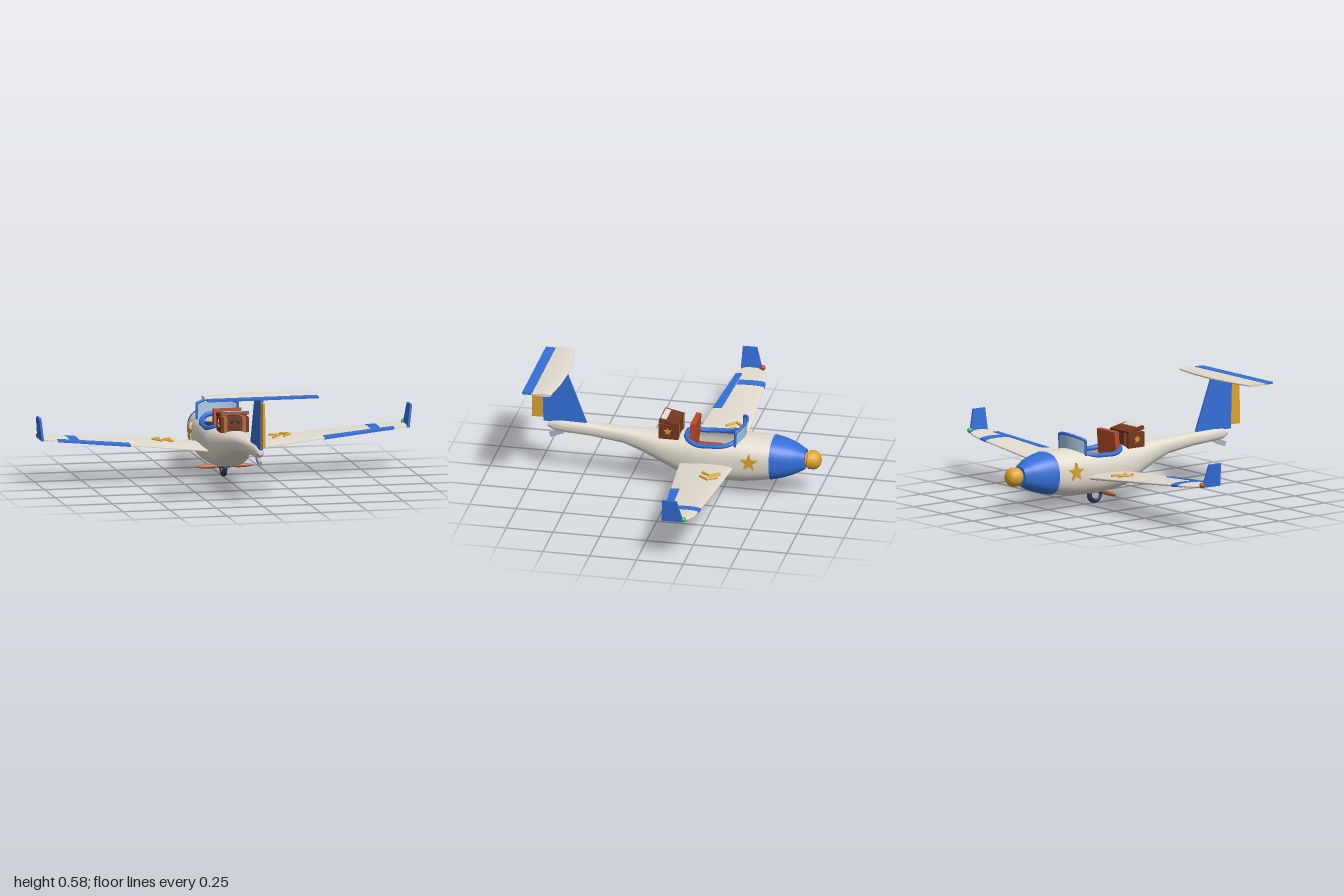
import * as THREE from 'three';
import { toCreasedNormals } from 'three/addons/utils/BufferGeometryUtils.js';

const V = (x, y, z) => new THREE.Vector3(x, y, z);
const paint = (name, color, side = THREE.FrontSide) => Object.assign(new THREE.MeshStandardMaterial({ color, side }), { name });

// Linear lookup in a table whose first column is the key
function lookup(table, k) {
  let i = 0;
  while (i < table.length - 2 && k > table[i + 1][0]) i++;
  const a = table[i], b = table[i + 1], t = (k - a[0]) / (b[0] - a[0]);
  return a.slice(1).map((v, n) => v + (b[n + 1] - v) * t);
}

// Skin through rings of points; open rings leave a gap between last and first point
function loft(rings, { closed = true, caps = true, crease = 0.7 } = {}) {
  const n = rings[0].length, pos = [], idx = [];
  rings.forEach(r => r.forEach(p => pos.push(p.x, p.y, p.z)));
  for (let i = 0; i < rings.length - 1; i++)
    for (let j = 0; j < (closed ? n : n - 1); j++) {
      const a = i * n + j, b = i * n + (j + 1) % n;
      idx.push(a, b, b + n, a, b + n, a + n);
    }
  if (caps) {
    const e = (rings.length - 1) * n;
    for (let j = 1; j < n - 1; j++) idx.push(0, j + 1, j, e, e + j, e + j + 1);
  }
  const g = new THREE.BufferGeometry();
  g.setAttribute('position', new THREE.Float32BufferAttribute(pos, 3));
  g.setIndex(idx);
  return toCreasedNormals(g, crease);
}

// Plate from [z, y] corners, with its thickness along x
function plate(corners, thick) {
  const g = new THREE.ExtrudeGeometry(new THREE.Shape(corners.map(c => new THREE.Vector2(...c))), { depth: thick, bevelEnabled: false });
  return g.translate(0, 0, -thick / 2).rotateY(-Math.PI / 2);
}
const star = (r, thick) => plate(Array.from({ length: 10 }, (_, i) => {
  const a = i * Math.PI / 5, q = i % 2 ? r * 0.42 : r;
  return [Math.sin(a) * q, Math.cos(a) * q];
}), thick);

// Round rod between two points
function rod(a, b, r) {
  const d = b.clone().sub(a), m = a.clone().add(b).multiplyScalar(0.5);
  const g = new THREE.CapsuleGeometry(r, d.length(), 4, 10);
  g.applyQuaternion(new THREE.Quaternion().setFromUnitVectors(V(0, 1, 0), d.normalize()));
  return g.translate(m.x, m.y, m.z);
}
const box = (w, h, d) => new THREE.BoxGeometry(w, h, d);
const tube = (pts, r, closed = false) => new THREE.TubeGeometry(new THREE.CatmullRomCurve3(pts, closed), 64, r, 8, closed);

// Fuselage stations: z, half width, top, bottom
const HULL = [[-0.69, 0.05, 0.25, 0.15], [-0.63, 0.085, 0.28, 0.12], [-0.57, 0.106, 0.298, 0.1], [-0.515, 0.118, 0.307, 0.087],
  [-0.42, 0.127, 0.31, 0.07], [-0.35, 0.13, 0.31, 0.062], [-0.2, 0.13, 0.308, 0.06], [-0.1, 0.125, 0.3, 0.068], [-0.03, 0.112, 0.293, 0.08],
  [0.05, 0.095, 0.288, 0.115], [0.12, 0.08, 0.288, 0.148], [0.2, 0.06, 0.29, 0.18], [0.28, 0.046, 0.292, 0.207], [0.45, 0.034, 0.297, 0.228],
  [0.6, 0.028, 0.3, 0.237], [0.66, 0.022, 0.296, 0.243], [0.69, 0.01, 0.28, 0.26]];
const N = 2.5, COCKPIT = { z: -0.202, len: 0.145, half: 0.104 };

function hullPoint(z, th, grow = 1) {
  const [w, top, bottom] = lookup(HULL, z), s = Math.sin(th), c = Math.cos(th);
  const f = v => Math.sign(v) * Math.abs(v) ** (2 / N) * grow;
  return V(-w * f(s), (top + bottom) / 2 + (top - bottom) / 2 * f(c), z);
}
// Angle from the top at which the cockpit opening begins
function openAngle(z) {
  const t = Math.abs((z - COCKPIT.z) / COCKPIT.len);
  if (t >= 1) return 0;
  const o = COCKPIT.half * (1 - t ** 3) ** (1 / 3);
  return Math.asin(Math.min(1, (o / lookup(HULL, z)[0]) ** (N / 2)));
}
function hullRing(z, grow = 1) {
  const t0 = openAngle(z);
  return Array.from({ length: 41 }, (_, j) => hullPoint(z, t0 + (2 * Math.PI - 2 * t0) * j / 40, grow));
}

// Lifting surfaces: x, leading z, trailing z, height, thickness
const WING = [[0.1, -0.325, -0.038, 0.163, 0.03], [0.52, -0.31, -0.08, 0.2, 0.022], [0.8, -0.295, -0.11, 0.224, 0.016],
  [0.9, -0.285, -0.12, 0.232, 0.014], [0.95, -0.265, -0.13, 0.236, 0.012], [0.98, -0.215, -0.15, 0.239, 0.008]];
const TAIL = [[0, 0.58, 0.715, 0.57, 0.018], [0.15, 0.59, 0.715, 0.57, 0.016], [0.3, 0.612, 0.715, 0.57, 0.012]];

// Section of a surface from c0 to c1 of the chord, thickened by grow
function foil(table, s, xs, c0 = 0, c1 = 1, grow = 0) {
  return loft(xs.map(x => {
    const [le, te, y, thick] = lookup(table, x), top = [], low = [];
    for (let i = 0; i <= 10; i++) {
      const c = c0 + (c1 - c0) * (i / 10) ** 1.5, k = Math.min(c, 1);
      const h = thick * 1.3 * Math.sqrt(k) * (1 - k) + 0.002 + grow, z = le + (te - le) * c - (c === 0 ? grow : 0);
      top.push(V(s * x, y + h, z));
      low.unshift(V(s * x, y - h, z));
    }
    const ring = [...top, ...low];
    return s > 0 ? ring : ring.reverse();
  }));
}

export function createModel() {
  const D = THREE.DoubleSide;
  const cream = paint('cream', 0xe2dccf, D), blue = paint('blue', 0x346fd9, D), gold = paint('gold', 0xdca22f);
  const leather = paint('leather brown', 0x74371f), red = paint('seat red', 0xb84a2c), navy = paint('dark navy', 0x2a3048);
  const grey = paint('metal grey', 0xaab4bf), glass = paint('pale glass', 0xa9c9e0, D), green = paint('signal green', 0x2fc765);
  const wood = paint('wood', 0xb5673c);
  const model = new THREE.Group();
  const add = (name, geo, mat, x = 0, y = 0, z = 0, parent = model) => {
    const m = new THREE.Mesh(geo, mat);
    m.name = name;
    m.position.set(x, y, z);
    parent.add(m);
    return m;
  };

  // Fuselage with an open cockpit, blue cowl and spinner
  const openZ = Array.from({ length: 25 }, (_, i) => COCKPIT.z - COCKPIT.len * Math.cos(i * Math.PI / 24));
  const bodyZ = [...HULL.map(r => r[0]).filter(z => z > -0.52 && Math.abs(z - COCKPIT.z) > COCKPIT.len), ...openZ].sort((a, b) => a - b);
  add('fuselage', loft(bodyZ.map(z => hullRing(z)), { closed: false }), cream);
  add('cowl', loft([-0.69, -0.66, -0.63, -0.57, -0.515].map(z => hullRing(z, 1.02)), { closed: false }), blue);
  const nose = [[0, -0.685], [0.036, -0.685], [0.038, -0.7], [0.05, -0.705], [0.051, -0.735], [0.043, -0.753], [0.028, -0.767], [0, -0.775]];
  add('spinner', toCreasedNormals(new THREE.LatheGeometry(nose.map(p => new THREE.Vector2(p[0], -p[1])), 20).rotateX(-Math.PI / 2), 0.6), gold, 0, 0.2);

  // Cockpit rim, windscreen and fittings
  const edge = openZ.map(z => hullPoint(z, openAngle(z)));
  const back = edge.slice(1, -1).reverse().map(p => V(-p.x, p.y, p.z));
  add('cockpitRim', tube([...edge, ...back], 0.013, true), blue);
  const arc = (y, rise, dz) => Array.from({ length: 17 }, (_, i) => {
    const t = i / 8 - 1;
    return V(0.11 * t, y + rise * (1 - t * t), -0.333 - 0.037 * (1 - t * t) + dz);
  });
  const low = arc(0.288, 0.022, 0), high = arc(0.366, 0.022, -0.004);
  add('windscreen', loft([low, high], { closed: false, caps: false }), glass);
  add('windscreenFrame', tube(high, 0.008), blue);
  for (const i of [0, 16]) add('windscreenPost', rod(low[i], high[i], 0.007), blue);
  add('dashboard', box(0.17, 0.07, 0.025), navy, 0, 0.235, -0.315);
  add('seatCushion', box(0.15, 0.07, 0.14), red, 0, 0.18, -0.16);
  add('seatBack', box(0.15, 0.19, 0.028), red, 0, 0.282, -0.094).rotation.x = -0.08;
  add('controlStick', rod(V(0, 0.1, -0.25), V(0, 0.23, -0.24), 0.01), navy);

  // Wings with everything attached to them, mirrored
  for (const s of [1, -1]) {
    const side = s > 0 ? 'left' : 'right';
    add(side + 'Wing', foil(WING, s, WING.map(r => r[0])), cream);
    add(side + 'WingBand', foil(WING, s, [0.78, 0.8, 0.83], 0, 0.78, 0.002), blue);
    add(side + 'Aileron', foil(WING, s, [0.52, 0.8, 0.9], 0.8, 1.01, 0.003), blue);
    const tip = add(side + 'Winglet', plate([[-0.13, -0.005], [-0.245, -0.003], [-0.213, 0.117], [-0.137, 0.117]], 0.012), blue, s * 0.979, 0.237);
    tip.rotation.z = -s * 0.12;
    add(side + 'NavLight', new THREE.SphereGeometry(0.014, 16, 12), s > 0 ? green : red, s * 0.977, 0.246, -0.247);
    for (const x of [0.308, 0.366])
      for (const dz of [-0.043, 0.043]) {
        const y = q => lookup(WING, q)[2] + 0.017;
        add(side + 'Chevron', rod(V(s * x, y(x), -0.24), V(s * (x - 0.038), y(x - 0.038), -0.24 + dz), 0.008), gold);
      }
    add(side + 'Star', star(0.05, 0.024), gold, s * 0.121, 0.207, -0.41);
    add(side + 'FootRest', new THREE.SphereGeometry(1, 16, 10).scale(0.065, 0.011, 0.012), wood, s * 0.088, 0.061, -0.165);
    add(side + 'Tailplane', foil(TAIL, s, TAIL.map(r => r[0])), cream);
  }

  // Tail
  add('fin', plate([[0.48, 0.29], [0.585, 0.568], [0.72, 0.568], [0.712, 0.29]], 0.016), blue);
  add('rudder', plate([[0.712, 0.31], [0.715, 0.545], [0.77, 0.545], [0.775, 0.31]], 0.013), gold);
  add('elevator', box(0.59, 0.01, 0.053), blue, 0, 0.569, 0.738);
  add('tailSkid', box(0.018, 0.026, 0.075), grey, 0, 0.226, 0.643).rotation.x = 0.38;

  // Single main wheel
  add('tyre', new THREE.TorusGeometry(0.034, 0.0135, 12, 32).rotateY(Math.PI / 2), navy, 0, 0.0475, -0.19);
  add('hub', new THREE.CylinderGeometry(0.024, 0.024, 0.016, 20).rotateZ(Math.PI / 2), grey, 0, 0.0475, -0.19);
  add('axle', rod(V(-0.03, 0.058, -0.165), V(0.03, 0.058, -0.165), 0.007), navy);

  // Suitcase strapped behind the seat
  const bag = new THREE.Group();
  bag.name = 'suitcase';
  model.add(bag);
  add('caseBody', box(0.15, 0.08, 0.105), leather, 0, 0.318, 0.03, bag);
  const lid = new THREE.Group();
  lid.name = 'caseLid';
  lid.position.set(0, 0.37, 0.028);
  lid.rotation.x = -0.2;
  bag.add(lid);
  add('lidPanel', box(0.154, 0.018, 0.106), leather, 0, 0, 0, lid);
  add('map', box(0.12, 0.008, 0.03), cream, 0, 0.008, 0.033, lid);
  for (const s of [1, -1]) {
    add('strap', box(0.018, 0.082, 0.109), wood, s * 0.05, 0.318, 0.03, bag);
    add('caseStar', star(0.022, 0.008), gold, s * 0.075, 0.322, 0.034, bag);
  }
  add('caseHandle', new THREE.TorusGeometry(0.02, 0.005, 8, 16, Math.PI), navy, 0, 0.325, 0.085, bag);
  return model;
}
